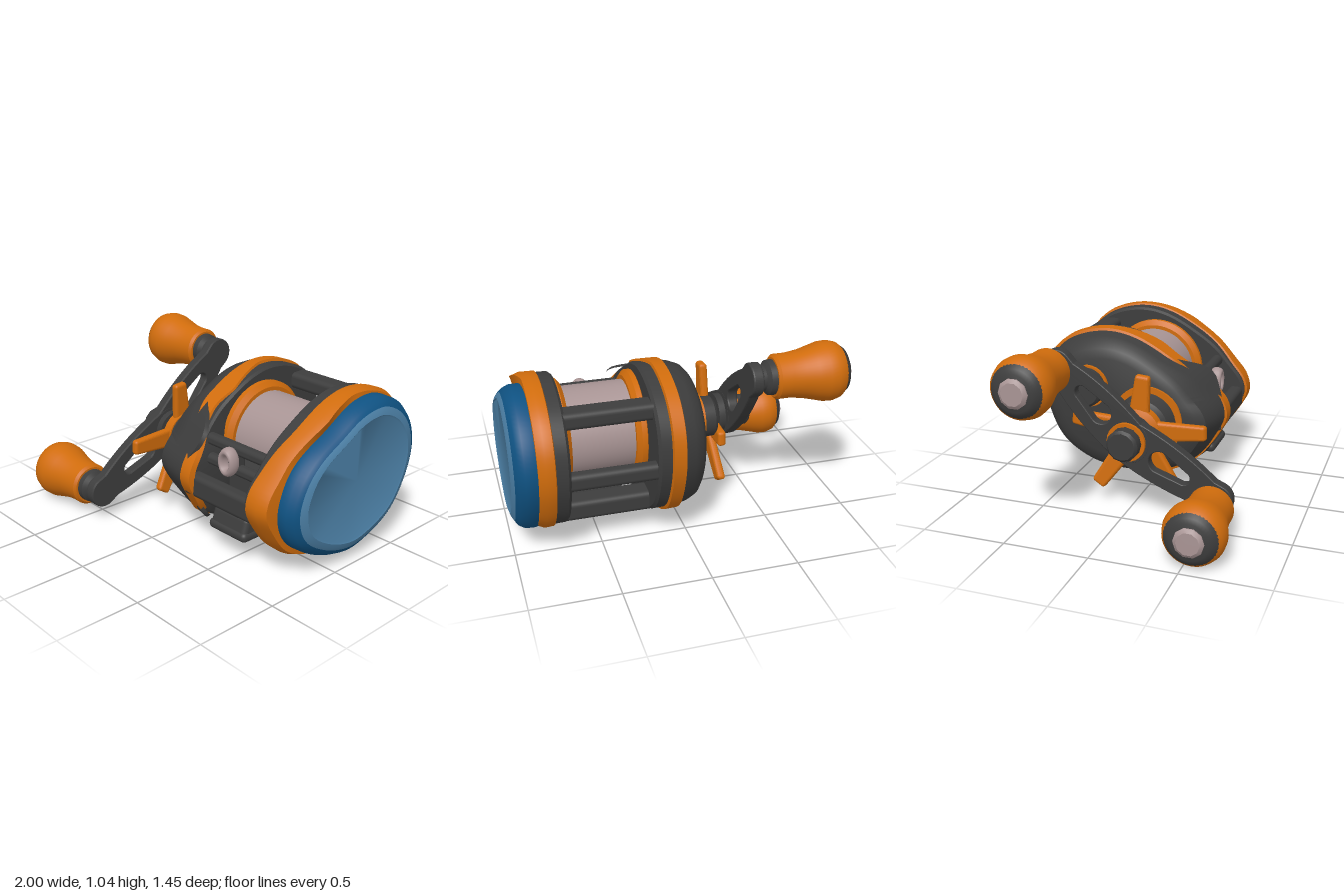
import * as THREE from 'three';
import { toCreasedNormals } from 'three/addons/utils/BufferGeometryUtils.js';
import { RoundedBoxGeometry } from 'three/addons/geometries/RoundedBoxGeometry.js';

const material = (name, color) => {
  const m = new THREE.MeshStandardMaterial({ color });
  m.name = name;
  return m;
};

export function createModel() {
  const grey = material('charcoal', 0x3d3d3d);
  const orange = material('orange', 0xd06c0c);
  const navy = material('deep blue', 0x0f5282);
  const blue = material('light blue', 0x4c80a6);
  const silver = material('rosy silver', 0xa89494);

  const model = new THREE.Group();
  const add = (name, geometry, mat, x = 0, y = 0, z = 0, parent = model) => {
    const mesh = new THREE.Mesh(geometry, mat);
    mesh.name = name;
    mesh.position.set(x, y, z);
    parent.add(mesh);
    return mesh;
  };

  // Egg-shaped outlines as (z, y), from the nose over the top to the back
  const closedOutline = (points) => new THREE.CatmullRomCurve3(
    points.map(([z, y]) => new THREE.Vector3(0, y, z)), true).getSpacedPoints(96).slice(0, 96);
  const bodyOutline = closedOutline([
    [0.44, 0.44], [0.42, 0.53], [0.34, 0.63], [0.24, 0.74], [0.1, 0.84], [-0.1, 0.945],
    [-0.27, 0.98], [-0.45, 0.955], [-0.6, 0.88], [-0.7, 0.75], [-0.73, 0.58], [-0.7, 0.42],
    [-0.6, 0.24], [-0.4, 0.11], [-0.15, 0.065], [0.1, 0.09], [0.27, 0.17], [0.38, 0.31]]);
  const capOutline = closedOutline([
    [0.345, 0.43], [0.29, 0.6], [0.18, 0.72], [-0.015, 0.83], [-0.17, 0.91], [-0.3, 0.94],
    [-0.42, 0.935], [-0.57, 0.86], [-0.67, 0.74], [-0.71, 0.58], [-0.665, 0.39], [-0.53, 0.195],
    [-0.3, 0.085], [-0.13, 0.06], [0.1, 0.125], [0.29, 0.26]]);

  // Local shaping: nose sweep, pointed tip on top, thumb rest and lower front swelling
  const near = (p, z, y, r) => Math.exp(-((p.z - z) ** 2 + (p.y - y) ** 2) / (r * r));
  const sweepAt = (p) => THREE.MathUtils.smoothstep(p.z, 0.1, 0.42);
  const tipAt = (p) => (p.y > 0.5 ? Math.max(0, 1 - Math.abs(p.z - 0.02) / 0.26) : 0);
  const thumbAt = (p) => near(p, 0.28, 0.7, 0.15);
  const lowAt = (p) => near(p, 0.27, 0.17, 0.14);

  // Skin through sections [x, scale, { sweep, tip, swell }]; swell pushes outward and sideways
  const loft = (outline, sections) => {
    const pos = [], index = [], n = outline.length;
    for (const [x, s, { sweep = 0, tip = 0, swell = 0 } = {}] of sections) {
      for (const p of outline) {
        const k = s + swell * (1.5 * thumbAt(p) + 0.7 * lowAt(p));
        const shift = sweep * sweepAt(p) + tip * tipAt(p) + swell * (1.6 * thumbAt(p) + 1.4 * lowAt(p));
        pos.push(x + shift, 0.52 + (p.y - 0.52) * k, -0.15 + (p.z + 0.15) * k);
      }
    }
    for (let i = 0; i < sections.length - 1; i++) {
      for (let j = 0; j < n; j++) {
        const a = i * n + j, b = i * n + (j + 1) % n;
        index.push(a, a + n, b, a + n, b + n, b);
      }
    }
    const g = new THREE.BufferGeometry();
    g.setAttribute('position', new THREE.Float32BufferAttribute(pos, 3));
    g.setIndex(index);
    return toCreasedNormals(g, 0.6);
  };

  // Turned part along x from [x, radius] pairs (x increasing)
  const turned = (profile, segments = 40) => {
    const g = new THREE.LatheGeometry(profile.map(([x, r]) => new THREE.Vector2(r, x)), segments);
    return toCreasedNormals(g.rotateZ(-Math.PI / 2), 0.6);
  };
  const rod = (x0, x1, r, segments = 24) => turned([[x0, 0], [x0, r], [x1, r], [x1, 0]], segments);

  // Gear side plate
  add('gearSideCover', loft(bodyOutline, [[-0.1, 0], [-0.1, 0.68], [-0.08, 0.8], [-0.05, 0.88],
    [0, 0.93, { sweep: 0.05, swell: 0.03 }], [0.07, 0.97, { sweep: 0.12, swell: 0.075 }],
    [0.085, 0.93, { sweep: 0.12, swell: 0.075 }]]), grey);
  add('gearSideTrim', loft(bodyOutline, [[0.055, 0.95, { sweep: 0.13 }], [0.065, 0.995, { sweep: 0.13 }],
    [0.135, 1, { sweep: 0.14, tip: 0.06 }], [0.145, 0.94, { sweep: 0.14, tip: 0.06 }]]), orange);
  add('gearSideFrame', loft(bodyOutline, [[0.12, 0.965, { sweep: 0.1 }], [0.2, 0.97, { sweep: 0.05 }],
    [0.215, 0.94, { sweep: 0.04 }], [0.215, 0]]), grey);

  // Palm side plate
  add('palmSideFrame', loft(bodyOutline, [[0.69, 0], [0.69, 0.94], [0.705, 0.97], [0.8, 0.975]]), grey);
  add('palmSideTrim', loft(bodyOutline, [[0.765, 0.95, { sweep: -0.05 }], [0.775, 0.995, { sweep: -0.05 }],
    [0.825, 1, { sweep: -0.02, tip: 0.04 }], [0.865, 0.965, { tip: 0.04 }], [0.875, 0.8]]), orange);
  add('palmSideRim', loft(capOutline, [[0.84, 0.98], [0.875, 1], [0.93, 0.995], [0.965, 0.95], [0.983, 0.89]]), navy);
  add('palmSideCap', loft(capOutline, [[0.982, 0.893], [0.993, 0.85], [1, 0.8], [0.995, 0.78], [0.995, 0]]), blue);

  // Spool
  const spoolY = 0.58, spoolZ = -0.18;
  add('spooledLine', rod(0.26, 0.66, 0.262, 48), silver, 0, spoolY, spoolZ);
  const flange = [[0.2, 0], [0.2, 0.28], [0.22, 0.315], [0.25, 0.315], [0.275, 0.285], [0.275, 0]];
  add('leftSpoolFlange', turned(flange, 48), orange, 0, spoolY, spoolZ);
  add('rightSpoolFlange', turned(flange.map(([x, r]) => [0.915 - x, r]).reverse(), 48), orange, 0, spoolY, spoolZ);

  // Frame crossbars: [y, z, height, depth]
  [[0.83, -0.515, 0.1, 0.13], [0.52, -0.65, 0.1, 0.08], [0.22, -0.42, 0.12, 0.14],
    [0.41, 0.365, 0.14, 0.09], [0.23, 0.1, 0.1, 0.2]].forEach(([y, z, h, d]) => {
    add('crossbar', new RoundedBoxGeometry(0.56, h, d, 3, 0.03), grey, 0.46, y, z);
  });

  // Level wind
  add('guideRail', rod(0.18, 0.74, 0.036), grey, 0, 0.65, 0.235);
  add('wormShaft', rod(0.18, 0.74, 0.035), grey, 0, 0.53, 0.24);
  add('guideCarriage', new RoundedBoxGeometry(0.24, 0.16, 0.14, 2, 0.02), grey, 0.46, 0.43, 0.13);
  add('guideBlock', new RoundedBoxGeometry(0.08, 0.14, 0.08, 2, 0.02), grey, 0.45, 0.585, 0.24);
  const eye = add('lineGuide', new THREE.TorusGeometry(0.043, 0.017, 12, 28), silver, 0.45, 0.59, 0.3);
  eye.scale.set(1, 1.45, 2.2);

  // Reel foot
  add('footStem', new RoundedBoxGeometry(0.26, 0.14, 0.34, 2, 0.03), grey, 0.46, 0.2, -0.02);
  add('foot', new RoundedBoxGeometry(0.3, 0.06, 0.7, 3, 0.028), grey, 0.46, 0.17, -0.02);
  const toe = add('footToe', new RoundedBoxGeometry(0.28, 0.12, 0.12, 3, 0.03), grey, 0.46, 0.21, 0.25);
  toe.rotation.x = -0.3;

  // Drive shaft, drag boss and spool tension knob
  const axisY = 0.47, axisZ = 0.02;
  add('shaftBoss', turned([[-0.22, 0], [-0.22, 0.13], [-0.2, 0.16], [-0.13, 0.175], [-0.06, 0.21]]), grey, 0, axisY, axisZ);
  add('bossRing', rod(-0.115, -0.09, 0.22, 40), orange, 0, axisY, axisZ);
  add('driveShaft', rod(-0.5, -0.1, 0.07), grey, 0, axisY, axisZ);
  add('shaftCollar', rod(-0.38, -0.34, 0.12), grey, 0, axisY, axisZ);
  add('handleWasher', rod(-0.475, -0.455, 0.115), orange, 0, axisY, axisZ);
  add('handleNut', turned([[-0.55, 0], [-0.55, 0.08], [-0.535, 0.095], [-0.47, 0.095]], 12), grey, 0, axisY, axisZ);
  add('tensionKnob', turned([[-0.2, 0], [-0.2, 0.1], [-0.185, 0.115], [-0.05, 0.12]], 28), grey, 0, 0.655, -0.36);
  add('tensionKnobRing', rod(-0.12, -0.1, 0.13, 28), orange, 0, 0.655, -0.36);

  // Star drag: five arms with tips leaning alternately in and out
  add('starHub', turned([[-0.32, 0], [-0.32, 0.08], [-0.29, 0.14], [-0.23, 0.14], [-0.22, 0]]), orange, 0, axisY, axisZ);
  [[3, -0.24, 0.41], [85, -0.26, 0.34], [175, -0.25, 0.42], [236, -0.315, 0.42], [302, -0.235, 0.39]].forEach(([deg, tipX, len]) => {
    const arm = new RoundedBoxGeometry(0.05, len, 0.11, 3, 0.02).translate(0, len / 2, 0);
    const p = arm.attributes.position;
    for (let i = 0; i < p.count; i++) {
      const t = p.getY(i) / len;
      p.setX(i, p.getX(i) + (tipX + 0.27) * t * t);
      p.setZ(i, p.getZ(i) * (1.25 - 0.45 * t));
    }
    arm.computeVertexNormals();
    const mesh = add('starArm', arm, orange, -0.27, axisY, axisZ);
    mesh.rotation.x = Math.PI / 2 - THREE.MathUtils.degToRad(deg);
  });

  // Crank: one broad arm with a large cut-out and one knob toward each end
  const crankArm = (len) => {
    const s = new THREE.Shape();
    s.moveTo(0, -0.13);
    s.quadraticCurveTo(0.28, -0.15, len - 0.06, -0.085);
    s.absarc(len, 0, 0.09, -Math.PI / 2, Math.PI / 2, false);
    s.lineTo(len - 0.06, 0.085);
    s.quadraticCurveTo(0.28, 0.15, 0, 0.13);
    s.absarc(0, 0, 0.13, Math.PI / 2, Math.PI * 1.5, false);
    const slot = new THREE.Path();
    slot.moveTo(0.22, -0.07);
    slot.lineTo(0.38, -0.045);
    slot.absarc(0.38, 0, 0.045, -Math.PI / 2, Math.PI / 2, false);
    slot.lineTo(0.22, 0.07);
    slot.absarc(0.22, 0, 0.07, Math.PI / 2, Math.PI * 1.5, false);
    s.holes.push(slot);
    return new THREE.ExtrudeGeometry(s, {
      depth: 0.045, bevelThickness: 0.01, bevelSize: 0.006, bevelSegments: 2, curveSegments: 16,
    });
  };
  const grip = turned([[-0.95, 0], [-0.95, 0.14], [-0.925, 0.163], [-0.88, 0.176], [-0.83, 0.174], [-0.77, 0.158],
    [-0.7, 0.14], [-0.62, 0.13], [-0.55, 0.13], [-0.535, 0.115], [-0.535, 0]], 48);
  // Shallow finger dimples around the waist of the grip
  const gp = grip.attributes.position;
  for (let i = 0; i < gp.count; i++) {
    const y = gp.getY(i), z = gp.getZ(i), x = gp.getX(i);
    const k = 1 - 0.06 * Math.exp(-(((x + 0.74) / 0.06) ** 2)) * Math.max(0, Math.cos(4 * Math.atan2(z, y)));
    gp.setXYZ(i, x, y * k, z * k);
  }
  [[0.183, 0.548], [0.875, -0.405]].forEach(([y, z], i) => {
    const arm = add('crankArm', crankArm(Math.hypot(y - axisY, z - axisZ)), grey, -0.4 - i * 0.001, axisY, axisZ);
    arm.rotation.set(0, -Math.PI / 2, Math.atan2(y - axisY, z - axisZ), 'YXZ');
    const knob = new THREE.Group();
    knob.name = i ? 'upperKnob' : 'lowerKnob';
    knob.position.set(0, y, z);
    model.add(knob);
    add('knobGrip', grip, orange, 0, 0, 0, knob);
    add('knobCollar', turned([[-0.56, 0], [-0.56, 0.105], [-0.5, 0.1], [-0.48, 0.075], [-0.44, 0.075]]), grey, 0, 0, 0, knob);
    add('knobCap', turned([[-0.978, 0], [-0.978, 0.105], [-0.965, 0.13], [-0.93, 0.157]]), grey, 0, 0, 0, knob);
    add('knobScrew', turned([[-1, 0], [-1, 0.065], [-0.985, 0.085], [-0.96, 0.085]], 10), silver, 0, 0, 0, knob);
  });

  return model;
}
